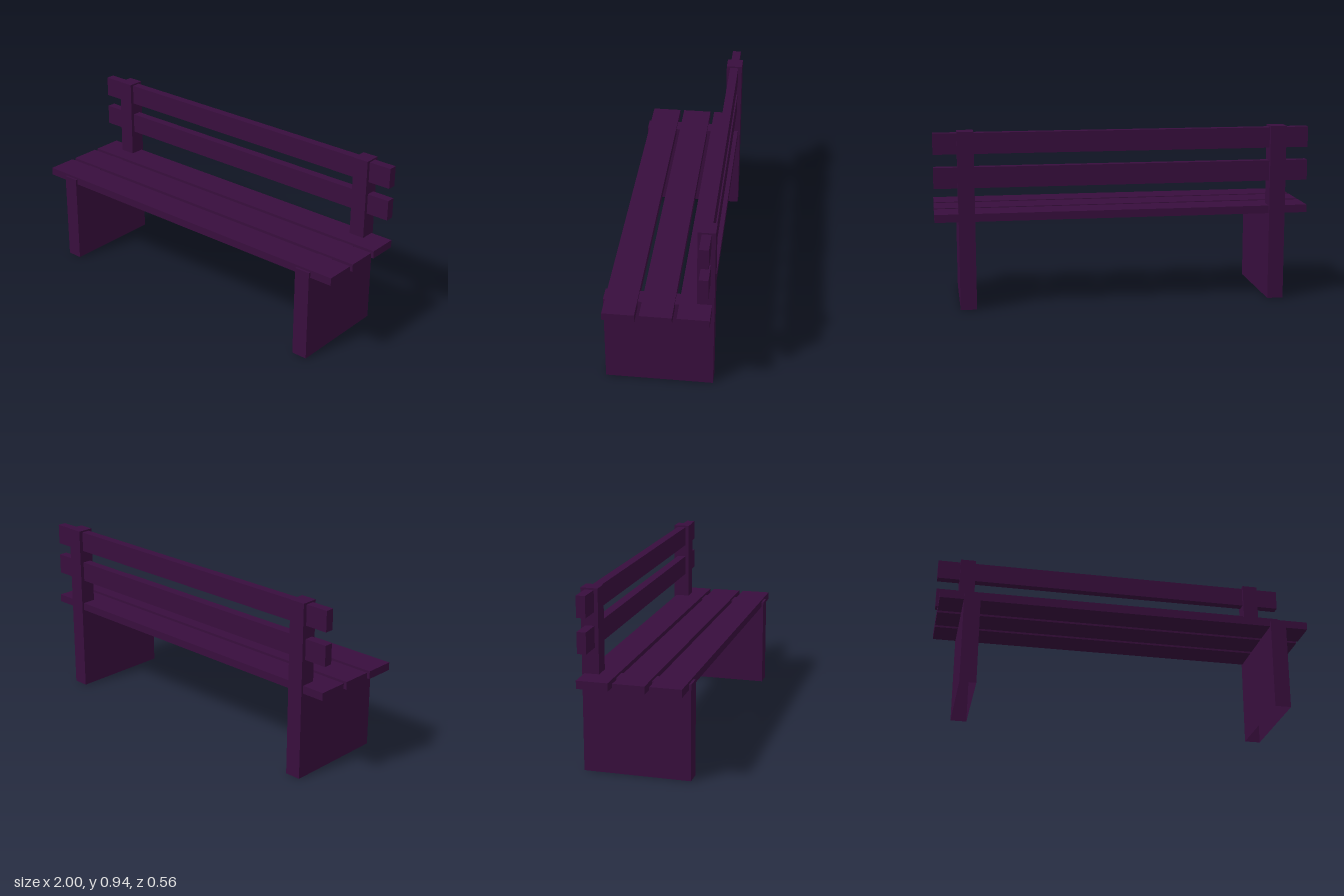
import * as THREE from 'three';

export function createModel() {
  const bench = new THREE.Group();
  bench.name = 'bench';
  const paint = new THREE.MeshStandardMaterial({ color: 0x380e3d, side: THREE.DoubleSide });
  paint.name = 'dark plum paint';

  // Side panel with the backrest post in one L-shaped piece, drawn in (-z, y)
  const profile = new THREE.Shape([
    [-0.278, 0], [0.278, 0], [0.278, 0.945], [0.19, 0.945], [0.19, 0.5], [-0.278, 0.5],
  ].map(([a, b]) => new THREE.Vector2(a, b)));
  const thickness = 0.086;
  const panelGeometry = new THREE.ExtrudeGeometry(profile, { depth: thickness, bevelEnabled: false });
  panelGeometry.translate(0, 0, -thickness / 2).rotateY(Math.PI / 2);

  // Leave the underside open where the panel meets the ground
  const normal = panelGeometry.getAttribute('normal');
  const kept = [];
  for (let i = 0; i < normal.count; i += 3) {
    if (normal.getY(i) > -0.5) kept.push(i, i + 1, i + 2);
  }
  panelGeometry.clearGroups();
  panelGeometry.setIndex(kept);

  for (const side of [-1, 1]) {
    const panel = new THREE.Mesh(panelGeometry, paint);
    panel.name = side > 0 ? 'leftSidePanel' : 'rightSidePanel';
    panel.position.x = side * 0.832;
    bench.add(panel);
  }

  // Full-width planks
  function addPlank(name, height, depth, y, z) {
    const plank = new THREE.Mesh(new THREE.BoxGeometry(2, height, depth), paint);
    plank.name = name;
    plank.position.set(0, y, z);
    bench.add(plank);
  }
  ['frontSeatPlank', 'middleSeatPlank', 'rearSeatPlank'].forEach((name, i) =>
    addPlank(name, 0.042, 0.162, 0.491, 0.185 * (1 - i)));
  addPlank('lowerBackPlank', 0.11, 0.047, 0.702, -0.233);
  addPlank('upperBackPlank', 0.11, 0.047, 0.881, -0.233);

  return bench;
}
